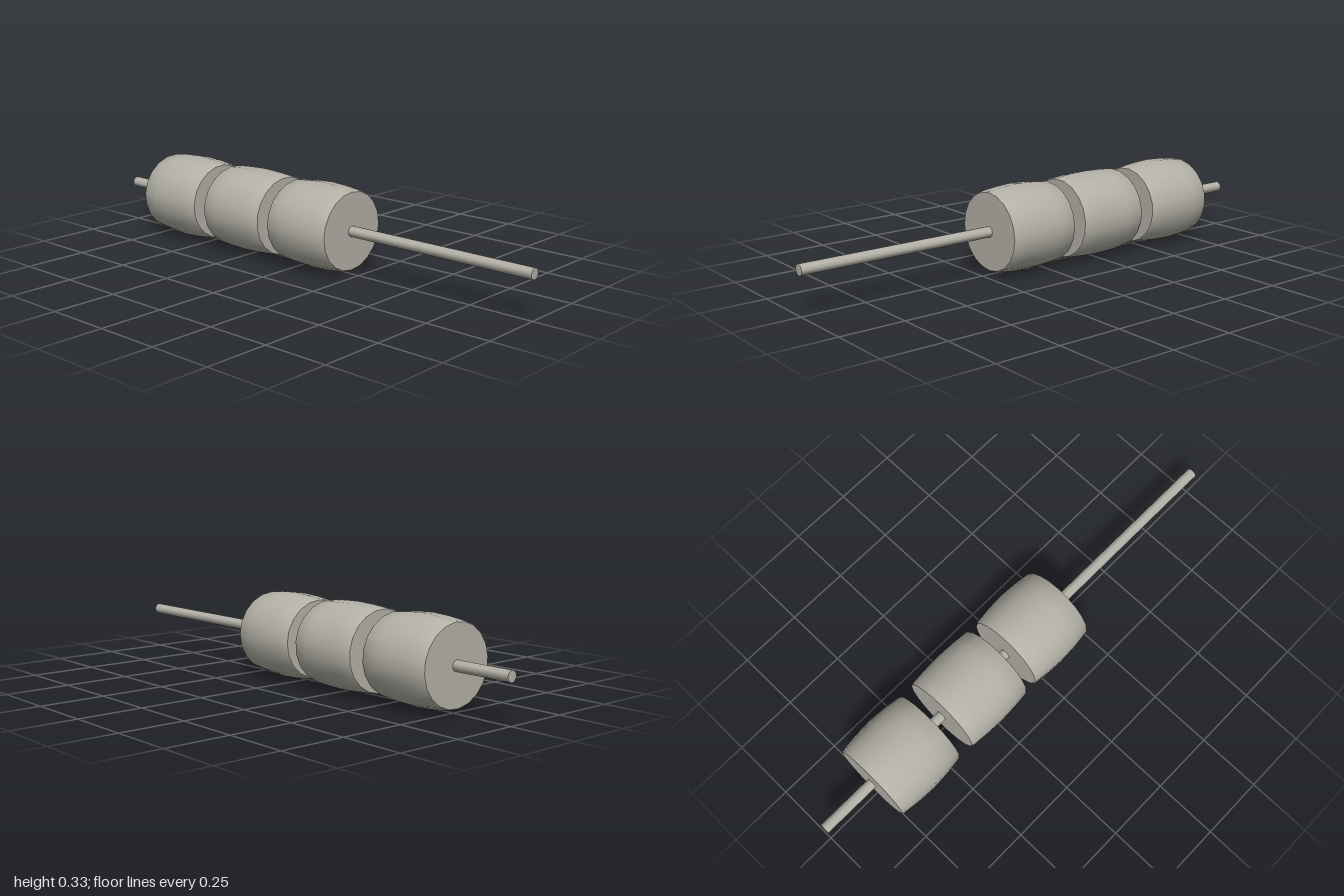
import * as THREE from 'three';
import { toCreasedNormals } from 'three/addons/utils/BufferGeometryUtils.js';

const AXIS_Y = 0.168;

// Solid of revolution around z, from [radius, z] pairs, with sharp rims
function turned(profile, sides, twist = 0) {
  const points = profile.map(([r, z]) => new THREE.Vector2(r, z));
  const geometry = new THREE.LatheGeometry(points, sides);
  geometry.rotateY(twist);
  geometry.rotateX(Math.PI / 2);
  return toCreasedNormals(geometry, 0.6);
}

export function createModel() {
  const group = new THREE.Group();
  const stone = new THREE.MeshStandardMaterial({ color: 0xb3b1a6 });
  stone.name = 'warm grey';

  // Long thin rod through all the drums
  const rod = new THREE.Mesh(
    turned([[0, -1], [0.021, -1], [0.021, 1], [0, 1]], 12), stone);
  rod.name = 'rod';
  rod.position.y = AXIS_Y;
  group.add(rod);

  // Three bulging drums: centre z, half length, rim radius, belly radius, twist
  const drums = [
    ['frontDrum', 0.075, 0.142, 0.153, 0.164, 0],
    ['middleDrum', -0.262, 0.145, 0.156, 0.164, 0.11],
    ['backDrum', -0.616, 0.147, 0.153, 0.165, 0.22],
  ];
  for (const [name, z, half, rim, belly, twist] of drums) {
    const shoulder = (rim + belly * 2) / 3;
    const drum = new THREE.Mesh(turned([
      [0, -half], [rim - 0.004, -half], [rim, -half + 0.006],
      [shoulder, -half * 0.5], [belly, 0], [shoulder, half * 0.5],
      [rim, half - 0.006], [rim - 0.004, half], [0, half],
    ], 20, twist), stone);
    drum.name = name;
    drum.position.set(0, AXIS_Y, z);
    drum.scale.x = 1.045; // slightly wider than tall
    group.add(drum);
  }
  return group;
}
